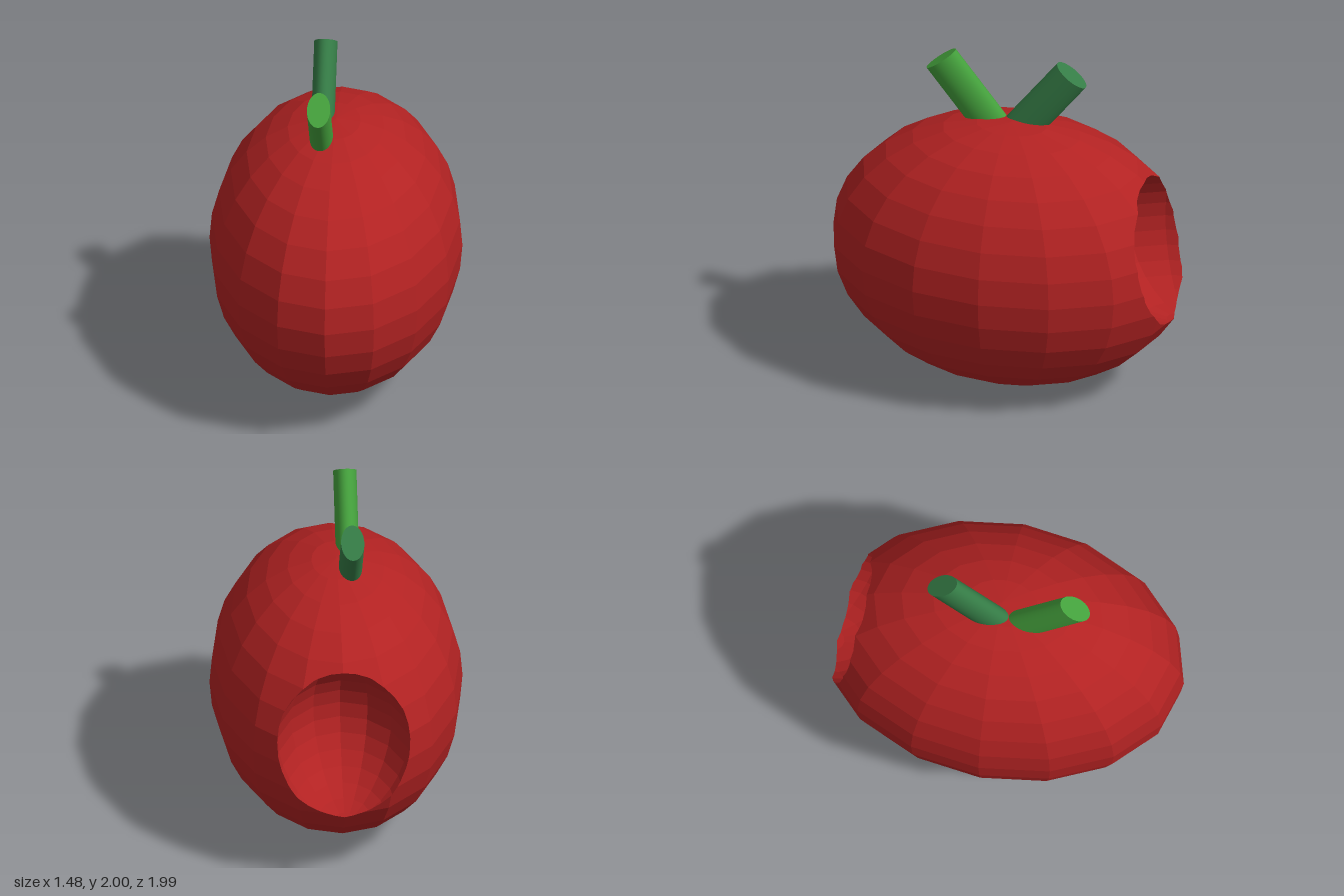
import * as THREE from 'three';

const TURN = 0.24; // heading of the fruit's long axis
const EPS = 1e-6;

// Flat faces of a faceted sphere, as triangles
function sphereFaces(radius, centre) {
  const g = new THREE.SphereGeometry(radius, 16, 16).toNonIndexed();
  g.translate(centre.x, centre.y, centre.z);
  const p = g.attributes.position;
  const faces = [];
  for (let i = 0; i < p.count; i += 3) {
    faces.push([0, 1, 2].map((k) => new THREE.Vector3().fromBufferAttribute(p, i + k)));
  }
  return faces;
}

const facePlanes = (faces) =>
  faces.map((f) => new THREE.Plane().setFromCoplanarPoints(f[0], f[1], f[2]));

// The part of a convex polygon on one side of a plane (+1 front, -1 back)
function clip(poly, plane, side) {
  const out = [];
  poly.forEach((a, i) => {
    const b = poly[(i + 1) % poly.length];
    const da = side * plane.distanceToPoint(a);
    const db = side * plane.distanceToPoint(b);
    if (da >= -EPS) out.push(a);
    if ((da > EPS && db < -EPS) || (da < -EPS && db > EPS)) {
      out.push(a.clone().lerp(b, da / (da - db)));
    }
  });
  const reaches = out.some((v) => side * plane.distanceToPoint(v) > EPS);
  return reaches && out.length > 2 ? out : null;
}

// Splits a polygon into the piece inside a convex solid and the pieces outside
function split(poly, planes) {
  const outside = [];
  let inside = poly;
  for (const plane of planes) {
    const front = clip(inside, plane, 1);
    if (front) outside.push(front);
    inside = clip(inside, plane, -1);
    if (!inside) return { inside: null, outside: [poly] };
  }
  return { inside, outside };
}

function polygonsToGeometry(polys) {
  const points = [];
  for (const p of polys) {
    for (let i = 1; i < p.length - 1; i++) points.push(p[0], p[i], p[i + 1]);
  }
  return new THREE.BufferGeometry().setFromPoints(points);
}

// Stretches unit-sphere space into the egg-shaped fruit
function fruitMesh(name, polys, material) {
  const g = polygonsToGeometry(polys);
  g.scale(0.72, 0.81, 1.05);
  g.rotateY(TURN);
  g.translate(0, 0.81, -0.03);
  g.computeVertexNormals();
  const mesh = new THREE.Mesh(g, material);
  mesh.name = name;
  return mesh;
}

// Oval stem leaning along the long axis; (x, y, z) is the centre of its cut end
function stem(name, color, x, y, z, lean) {
  const g = new THREE.CylinderGeometry(0.107, 0.107, 0.5, 32);
  g.translate(0, -0.25, 0);
  g.scale(0.62, 1, 1);
  const mesh = new THREE.Mesh(g, new THREE.MeshStandardMaterial({ color }));
  mesh.rotation.set(lean, TURN, 0, 'YXZ');
  mesh.position.set(x, y, z);
  mesh.name = name;
  return mesh;
}

export function createModel() {
  const model = new THREE.Group();
  model.name = 'bittenFruit';

  const skin = new THREE.MeshStandardMaterial({ color: 0xb22222, flatShading: true });
  const body = sphereFaces(1, new THREE.Vector3());
  const bite = sphereFaces(0.56, new THREE.Vector3(0, 0.15, -0.98));
  const bodyPlanes = facePlanes(body);
  const bitePlanes = facePlanes(bite);

  // Fruit skin with the bite taken out of its back
  const outer = body.flatMap((f) => split(f, bitePlanes).outside);
  model.add(fruitMesh('fruitBody', outer, skin));

  // Hollow of the bite, faces turned towards the opening
  const hollow = bite
    .map((f) => split(f, bodyPlanes).inside)
    .filter(Boolean)
    .map((f) => f.slice().reverse());
  model.add(fruitMesh('biteHollow', hollow, skin));

  // Pair of stems leaning apart
  model.add(stem('frontStem', 0x44a03c, 0.033, 1.93, 0.41, 0.66));
  model.add(stem('backStem', 0x357c46, -0.155, 1.93, -0.335, -0.66));
  return model;
}
